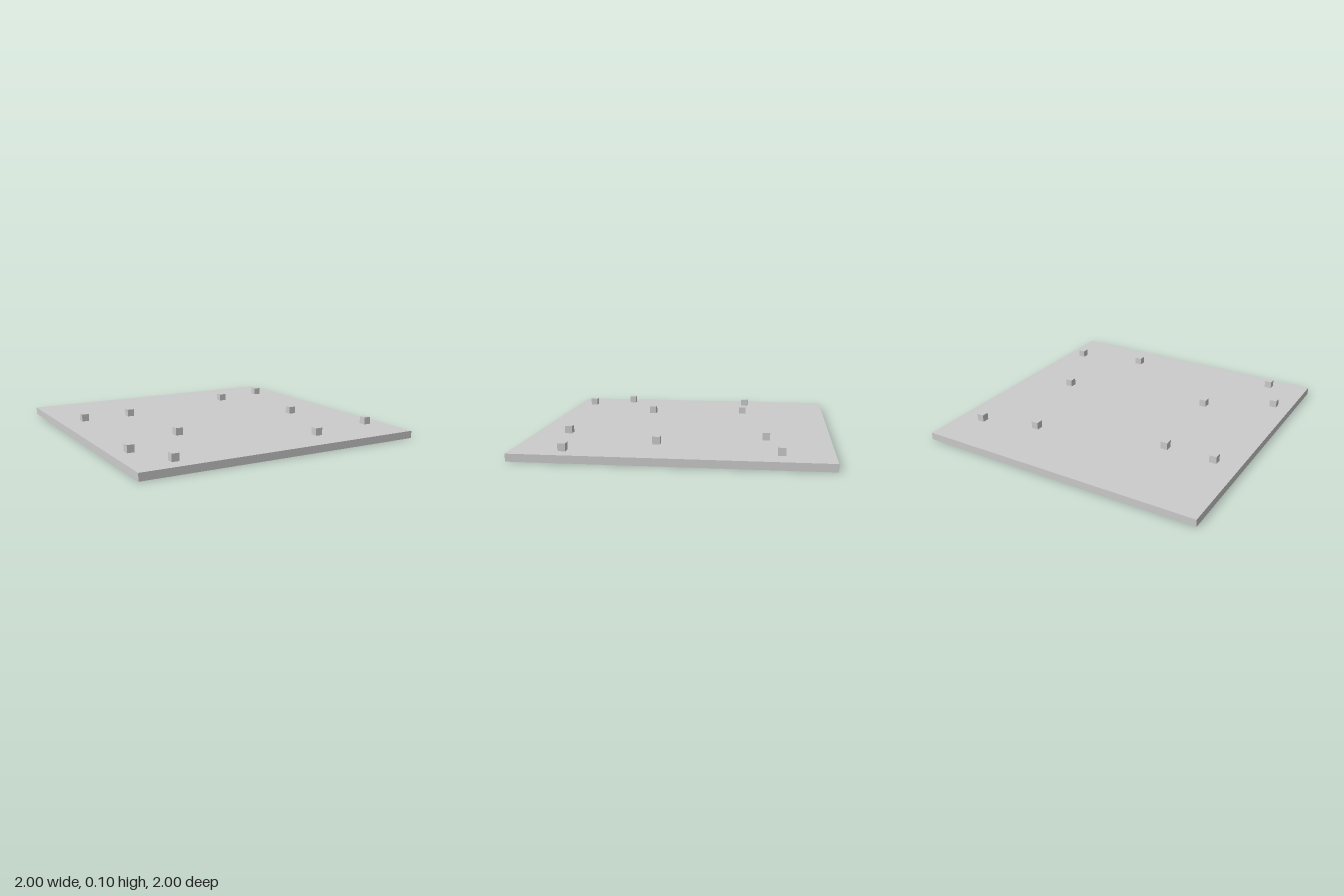
import * as THREE from 'three';

const UNIT = 0.05; // slab thickness and cube edge

// Cube centres as [x, z]
const CUBES = [
  [0.825, -0.675], [0.425, -0.575], [-0.825, -0.375], [-0.475, -0.375], [0.625, 0.125],
  [-0.425, 0.325], [-0.875, 0.575], [0.875, 0.675], [0.375, 0.775], [-0.725, 0.875],
];

export function createModel() {
  const model = new THREE.Group();
  model.name = 'slabWithCubes';
  const material = new THREE.MeshStandardMaterial({ color: 0xcccccc, flatShading: true });

  // Flat square base
  const slab = new THREE.Mesh(new THREE.BoxGeometry(2, UNIT, 2), material);
  slab.name = 'baseSlab';
  slab.position.y = UNIT / 2;
  model.add(slab);

  // Small cubes scattered on top
  const cubeGeometry = new THREE.BoxGeometry(UNIT, UNIT, UNIT);
  CUBES.forEach(([x, z], i) => {
    const cube = new THREE.Mesh(cubeGeometry, material);
    cube.name = `cube${i + 1}`;
    cube.position.set(x, UNIT * 1.5, z);
    model.add(cube);
  });

  return model;
}
